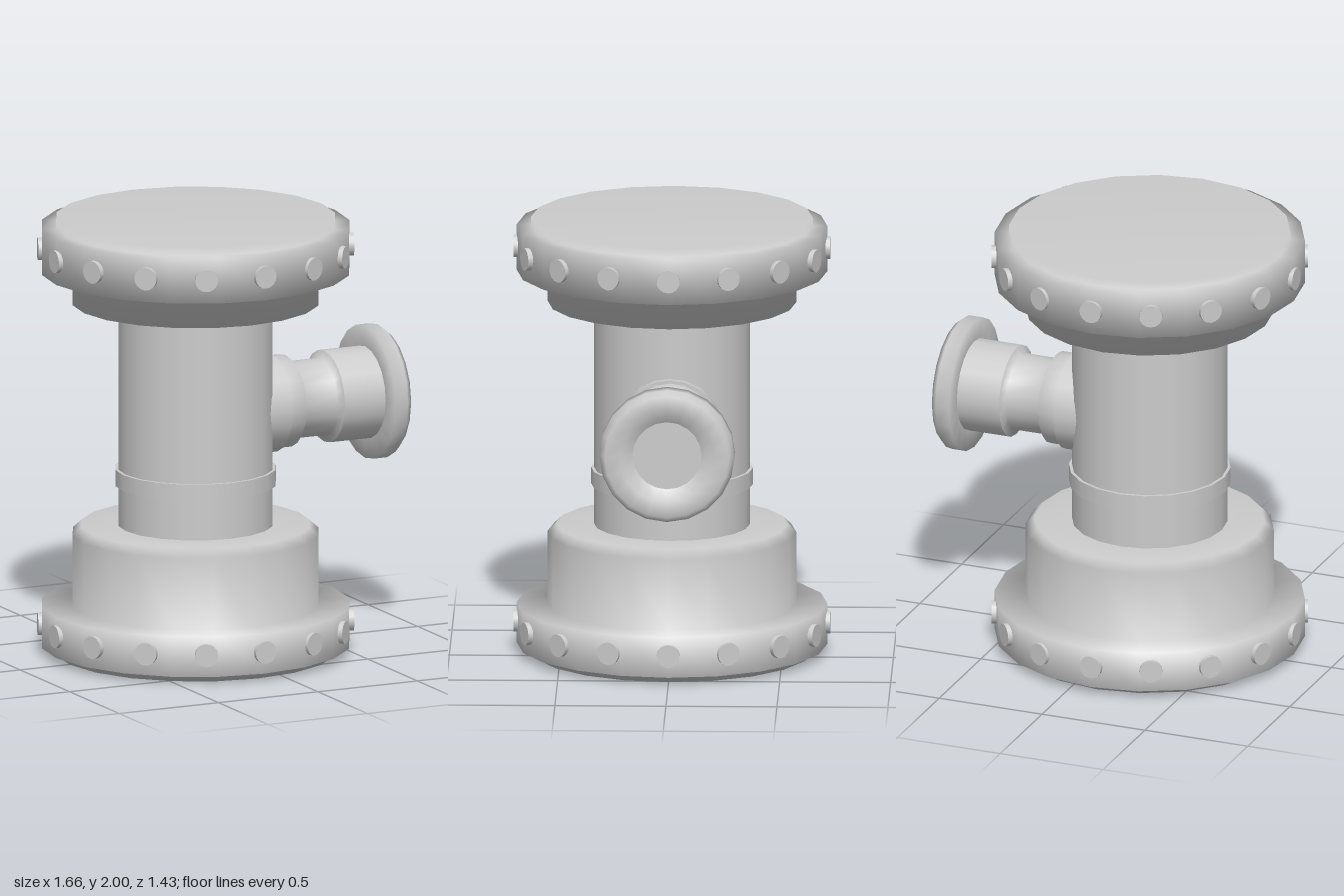
import * as THREE from 'three';

const AXIS_X = -0.117; // vertical axis of the main body
const BRANCH_Y = 1.11; // height of the side outlet

const material = new THREE.MeshStandardMaterial({ color: 0xcccccc });

// Smooth turned part from [radius, height] pairs, listed bottom to top
function turned(name, profile, sides = 20) {
  const points = profile.map(([r, y]) => new THREE.Vector2(r, y));
  const mesh = new THREE.Mesh(new THREE.LatheGeometry(points, sides), material);
  mesh.name = name;
  return mesh;
}

// Ring of bolt heads around a flange
function boltRing(name, y, count = 16) {
  const ring = new THREE.Group();
  ring.name = name;
  const geometry = new THREE.CylinderGeometry(0.052, 0.052, 0.06, 16);
  geometry.rotateX(Math.PI / 2).translate(0, 0, 0.683);
  for (let i = 0; i < count; i++) {
    const bolt = new THREE.Mesh(geometry, material);
    bolt.name = 'bolt';
    bolt.rotation.y = (i / count) * Math.PI * 2;
    ring.add(bolt);
  }
  ring.position.y = y;
  return ring;
}

export function createModel() {
  const model = new THREE.Group();
  model.name = 'pipeJunction';

  const body = new THREE.Group();
  body.name = 'mainPipe';
  body.position.x = AXIS_X;
  model.add(body);

  // Bottom flange with the wide bevelled socket above it
  body.add(turned('bottomFlange', [
    [0, 0], [0.635, 0], [0.635, 0.035], [0.7, 0.035], [0.7, 0.22],
    [0.56, 0.22], [0.56, 0.55], [0.52, 0.587], [0.34, 0.587],
  ]));

  // Straight column and the band around it
  body.add(turned('column', [[0.351, 0.57], [0.351, 1.63]]));
  body.add(turned('columnBand', [
    [0.34, 0.772], [0.365, 0.772], [0.365, 0.772],
    [0.365, 0.847], [0.365, 0.847], [0.34, 0.847],
  ]));

  // Top flange with its lower collar
  body.add(turned('topFlange', [
    [0.34, 1.613], [0.56, 1.613], [0.56, 1.757], [0.7, 1.757],
    [0.7, 1.965], [0.635, 1.965], [0.635, 2], [0, 2],
  ]));

  body.add(boltRing('bottomBolts', 0.135), boltRing('topBolts', 1.866));

  // Side outlet: root lip, waist, sleeve and dished end flange along +x
  const outlet = turned('sideOutlet', [
    [0.225, 0.05], [0.225, 0.26], [0.225, 0.26], [0.21, 0.26], [0.21, 0.26],
    [0.21, 0.335], [0.175, 0.36], [0.175, 0.51], [0.21, 0.53], [0.21, 0.53],
    [0.21, 0.735], [0.21, 0.735], [0.305, 0.735], [0.305, 0.8],
    [0.28, 0.828], [0.21, 0.828], [0.155, 0.795], [0.155, 0.795], [0, 0.795],
  ]);
  outlet.rotation.z = -Math.PI / 2;
  outlet.position.y = BRANCH_Y;
  model.add(outlet);

  return model;
}
